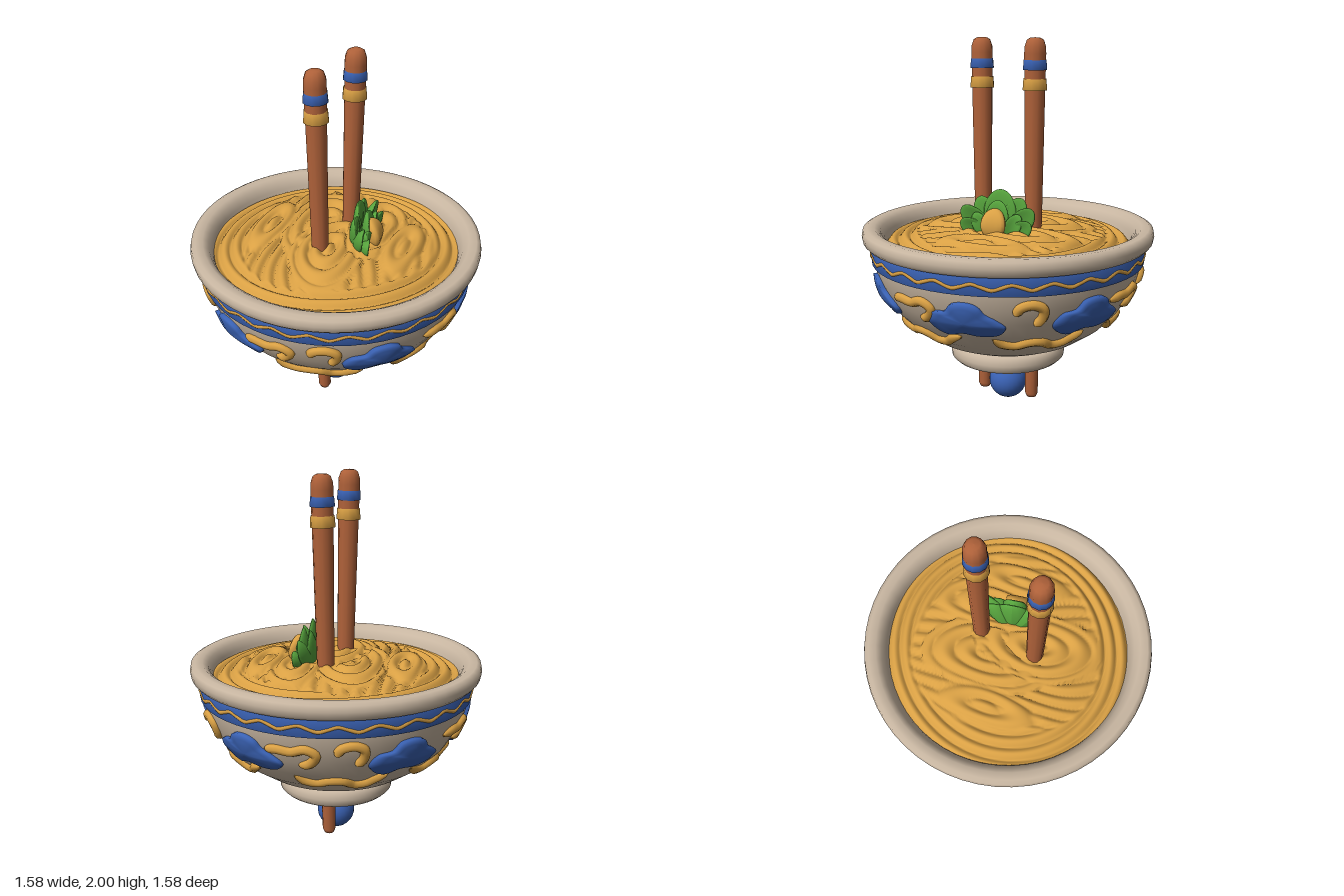
import * as THREE from 'three';

const paint = (name, color) => Object.assign(new THREE.MeshStandardMaterial({ color }), { name });
const V2 = (list) => list.map(([x, y]) => new THREE.Vector2(x, y));
const { degToRad, smoothstep } = THREE.MathUtils;

// Outer wall of the bowl as [radius, height]
const WALL = [[0.27, 0.35], [0.35, 0.375], [0.425, 0.408], [0.54, 0.487], [0.62, 0.575],
  [0.672, 0.66], [0.705, 0.74], [0.727, 0.82], [0.735, 0.92]];

function wallRadius(y) {
  for (let i = 1; i < WALL.length; i++) {
    const [r0, y0] = WALL[i - 1], [r1, y1] = WALL[i];
    if (y <= y1) return r0 + (r1 - r0) * (y - y0) / (y1 - y0);
  }
  return 0.735;
}

// Point on the bowl wall at an angle from the front
function onWall(angle, y, lift = 0) {
  const r = wallRadius(y) + lift;
  return new THREE.Vector3(r * Math.sin(angle), y, r * Math.cos(angle));
}

// Tube whose two ends shrink to a rounded point
function taperedTube(points, radius, segments = 30, sides = 8) {
  const curve = new THREE.CatmullRomCurve3(points);
  const geo = new THREE.TubeGeometry(curve, segments, radius, sides);
  const pos = geo.attributes.position, p = new THREE.Vector3();
  for (let i = 0; i <= segments; i++) {
    const t = i / segments, c = curve.getPointAt(t);
    const s = Math.min(1, Math.sqrt(Math.min(t, 1 - t) * 10));
    for (let j = 0; j <= sides; j++) {
      const k = i * (sides + 1) + j;
      p.fromBufferAttribute(pos, k).sub(c).multiplyScalar(s).add(c);
      pos.setXYZ(k, p.x, p.y, p.z);
    }
  }
  return geo;
}

// Surface of nested rings of n points, the rings running outwards
function ringSurface(rings, n, point) {
  const pos = [], index = [];
  for (let k = 0; k <= rings; k++) {
    for (let i = 0; i < n; i++) {
      pos.push(...point(k, i).toArray());
      if (k < rings) {
        const j = (i + 1) % n, a = k * n + i, b = a + n, c = (k + 1) * n + j, d = k * n + j;
        index.push(a, b, c, a, c, d);
      }
    }
  }
  const geo = new THREE.BufferGeometry();
  geo.setAttribute('position', new THREE.Float32BufferAttribute(pos, 3));
  geo.setIndex(index);
  geo.computeVertexNormals();
  return geo;
}

// Domed cloud wrapped on the wall, made of scaled outline rings
function cloudGeometry(angle) {
  const outline = new THREE.CatmullRomCurve3([[-0.21, -0.02], [-0.17, 0.04], [-0.1, 0.055], [-0.06, 0.1],
    [0.02, 0.11], [0.07, 0.09], [0.1, 0.05], [0.15, 0.02], [0.2, -0.025], [0.17, -0.065], [0.07, -0.08],
    [-0.03, -0.07], [-0.11, -0.09], [-0.18, -0.065]].reverse().map(([x, y]) => new THREE.Vector3(x, y, 0)), true);
  const n = 56, rings = 7;
  return ringSurface(rings, n, (k, i) => {
    const s = k / rings, p = outline.getPoint(i / n);
    const lift = k === rings ? -0.01 : 0.016 + 0.022 * (1 - s * s);
    const scale = k === rings ? 1 : k === rings - 1 ? 0.98 : s;
    return onWall(angle + p.x * scale / 0.69, 0.67 + p.y * scale, lift);
  });
}

// Height of the noodles: rounded strands with sharp creases between them
const LOOPS = [[-0.1, -0.1, 0.55, 0.2, 0.016], [0.02, 0.16, 0.55, 0.2, 0.018], [0.2, -0.12, 0.45, 0.15, 0.012],
  [0.38, 0.02, 0.35, 0.11, 0.01], [-0.38, -0.05, 0.35, 0.11, 0.012]];
function noodleHeight(x, z) {
  const r = Math.hypot(x, z), a = Math.atan2(x, z);
  const strands = (d, width) => 0.028 * Math.abs(Math.cos(Math.PI * d / width));
  const across = x + 0.05 * Math.sin(4 * z + 1) + 0.025 * Math.sin(8 * z + 6 * x);
  let ridge = strands(across, 0.07);
  for (const [cx, cz, squash, limit, lift] of LOOPS) {
    const d = Math.hypot(x - cx + 0.02 * Math.sin(7 * z), (z - cz) * squash);
    if (d < limit) ridge = Math.max(ridge * 0.8, strands(d, 0.066) + lift * smoothstep(limit - d, 0, 0.03));
  }
  const outer = smoothstep(r + 0.03 * Math.sin(3 * a), 0.49, 0.53);
  const rim = strands(r + 0.025 * Math.sin(2 * a + 0.6), 0.065);
  return 0.983 - 0.075 * Math.pow(r / 0.66, 3) + ridge * (1 - outer) + rim * outer;
}

// Cupped leaf standing on its base, facing +x
function leafGeometry(length, width, thickness, bend) {
  const geo = new THREE.SphereGeometry(1, 16, 14);
  const pos = geo.attributes.position;
  for (let i = 0; i < pos.count; i++) {
    const h = (pos.getY(i) + 1) / 2, z = pos.getZ(i);
    pos.setXYZ(i, pos.getX(i) * thickness + bend * h * h + 0.025 * z * z, h * length, z * width / 2);
  }
  geo.computeVertexNormals();
  return geo;
}

export function createModel() {
  const ceramic = paint('ceramic', 0xc9b7a2), blue = paint('blue glaze', 0x3a62b4);
  const gold = paint('golden noodle', 0xd9a044), wood = paint('wood', 0xb0623a), green = paint('green leaf', 0x58a63e);
  const model = new THREE.Group();
  model.name = 'noodleBowl';
  const add = (name, geo, mat, parent = model) => {
    const mesh = new THREE.Mesh(geo, mat);
    mesh.name = name;
    parent.add(mesh);
    return mesh;
  };
  const group = (name) => {
    const g = new THREE.Group();
    g.name = name;
    model.add(g);
    return g;
  };

  // Bowl: foot, wall, thick rim and inside
  add('bowl', new THREE.LatheGeometry(V2([[0, 0.3], [0.16, 0.295], [0.2, 0.268], [0.25, 0.255], [0.295, 0.255],
    [0.313, 0.272], [0.316, 0.3], [0.312, 0.328], [0.298, 0.344], [0.275, 0.349], ...WALL, [0.765, 0.922],
    [0.782, 0.94], [0.788, 0.97], [0.782, 1.0], [0.76, 1.012], [0.72, 1.01], [0.69, 0.99], [0.67, 0.95],
    [0.655, 0.89]]), 56), ceramic);
  add('footPatch', new THREE.CircleGeometry(0.175, 24).rotateX(Math.PI / 2).translate(0, 0.283, 0), gold);

  // Painted band with a wavy line
  add('blueBand', new THREE.LatheGeometry(V2([[0.715, 0.82], [0.739, 0.822], [0.749, 0.918], [0.72, 0.92]]), 56), blue);
  const wave = [];
  for (let i = 0; i < 96; i++) {
    const a = i / 96 * Math.PI * 2;
    wave.push(onWall(a, 0.869 + 0.014 * Math.sin(a * 24), 0.007));
  }
  add('wavyLine', new THREE.TubeGeometry(new THREE.CatmullRomCurve3(wave, true), 288, 0.011, 6, true), gold);

  // Clouds, scrolls and ripples, the same on both halves of the bowl
  const relief = group('wallRelief');
  const longScroll = [[-27, 0.725], [-21, 0.735], [-15, 0.73], [-9, 0.75], [-5, 0.72], [-8, 0.665], [-13, 0.65]];
  const hookScroll = [[3, 0.715], [5, 0.76], [10, 0.775], [14, 0.75], [14, 0.7], [11, 0.655]];
  const ripple = [[-17, 0.565], [-12, 0.535], [-6, 0.525], [0, 0.545], [6, 0.545], [12, 0.515], [18, 0.52],
    [23, 0.555], [28, 0.57]];
  for (const half of [0, 180]) {
    for (const angle of [-36.5, 34, 90]) add('cloud', cloudGeometry(degToRad(half + angle)), blue, relief);
    for (const [name, path, turn] of [['longScroll', longScroll, 0], ['longScroll', longScroll, 80],
      ['hookScroll', hookScroll, 0], ['hookScroll', hookScroll, 107],
      ['ripple', ripple, 0], ['ripple', ripple, 58], ['ripple', ripple, 117]]) {
      const pts = path.map(([deg, y]) => onWall(degToRad(half + turn + deg), y, 0.002));
      add(name, taperedTube(pts, 0.026), gold, relief);
    }
  }

  // Noodles: one folded surface
  add('noodles', ringSurface(100, 200, (k, i) => {
    const r = 0.001 + 0.664 * k / 100, a = i / 200 * Math.PI * 2;
    const x = r * Math.sin(a), z = r * Math.cos(a);
    return new THREE.Vector3(x, noodleHeight(x, z), z);
  }).scale(1, 1, 1), gold).geometry.computeVertexNormals();

  // Garnish: broad leaves fanned out and curling around a golden bud
  const garnish = group('garnish');
  add('backLeaf', leafGeometry(0.25, 0.18, 0.022, 0.01), green, garnish).position.set(0.115, 0.97, 0);
  add('middleLeaf', leafGeometry(0.2, 0.13, 0.022, 0.01), green, garnish).position.set(0.165, 0.97, 0);
  for (const side of [1, -1]) {
    for (const [x, z, tilt, length, width, bend] of [[0.11, 0.03, 0.4, 0.225, 0.13, 0.02],
      [0.13, 0.05, 0.72, 0.215, 0.12, 0.06], [0.16, 0.06, 0.95, 0.16, 0.1, 0.06], [0.175, 0.05, 0.5, 0.15, 0.09, 0.02]]) {
      const leaf = add('sideLeaf', leafGeometry(length, width, 0.022, bend), green, garnish);
      leaf.position.set(x, 0.97, z * side);
      leaf.rotation.x = tilt * side;
    }
  }
  add('bud', leafGeometry(0.165, 0.135, 0.045, -0.02), gold, garnish).position.set(0.215, 0.965, 0.01);

  // Chopsticks pushed through the bowl, each with two bands
  const ring = (r, y, h) => new THREE.LatheGeometry(V2([[r - 0.015, y], [r + 0.002, y], [r - 0.002, y + h], [r - 0.015, y + h]]), 12);
  for (const side of [1, -1]) {
    const low = new THREE.Vector3(-0.03 * side, 0.03, 0.147 * side);
    const high = new THREE.Vector3(-0.063 * side, 2, 0.165 * side);
    const stick = group(side > 0 ? 'frontChopstick' : 'backChopstick');
    stick.position.copy(low);
    stick.quaternion.setFromUnitVectors(new THREE.Vector3(0, 1, 0), high.sub(low).normalize());
    add('shaft', new THREE.LatheGeometry(V2([[0, 0], [0.026, 0.002], [0.036, 0.025], [0.038, 0.2], [0.046, 0.95],
      [0.055, 1.7], [0.058, 1.89], [0.056, 1.925], [0.045, 1.957], [0.028, 1.967], [0, 1.97]]), 12), wood, stick);
    add('blueRing', ring(0.062, 1.808, 0.05), blue, stick);
    add('goldRing', ring(0.063, 1.705, 0.058), gold, stick);
  }

  // Ball under the foot
  add('ball', new THREE.SphereGeometry(0.105, 24, 16).translate(0, 0.105, 0), blue);
  return model;
}
